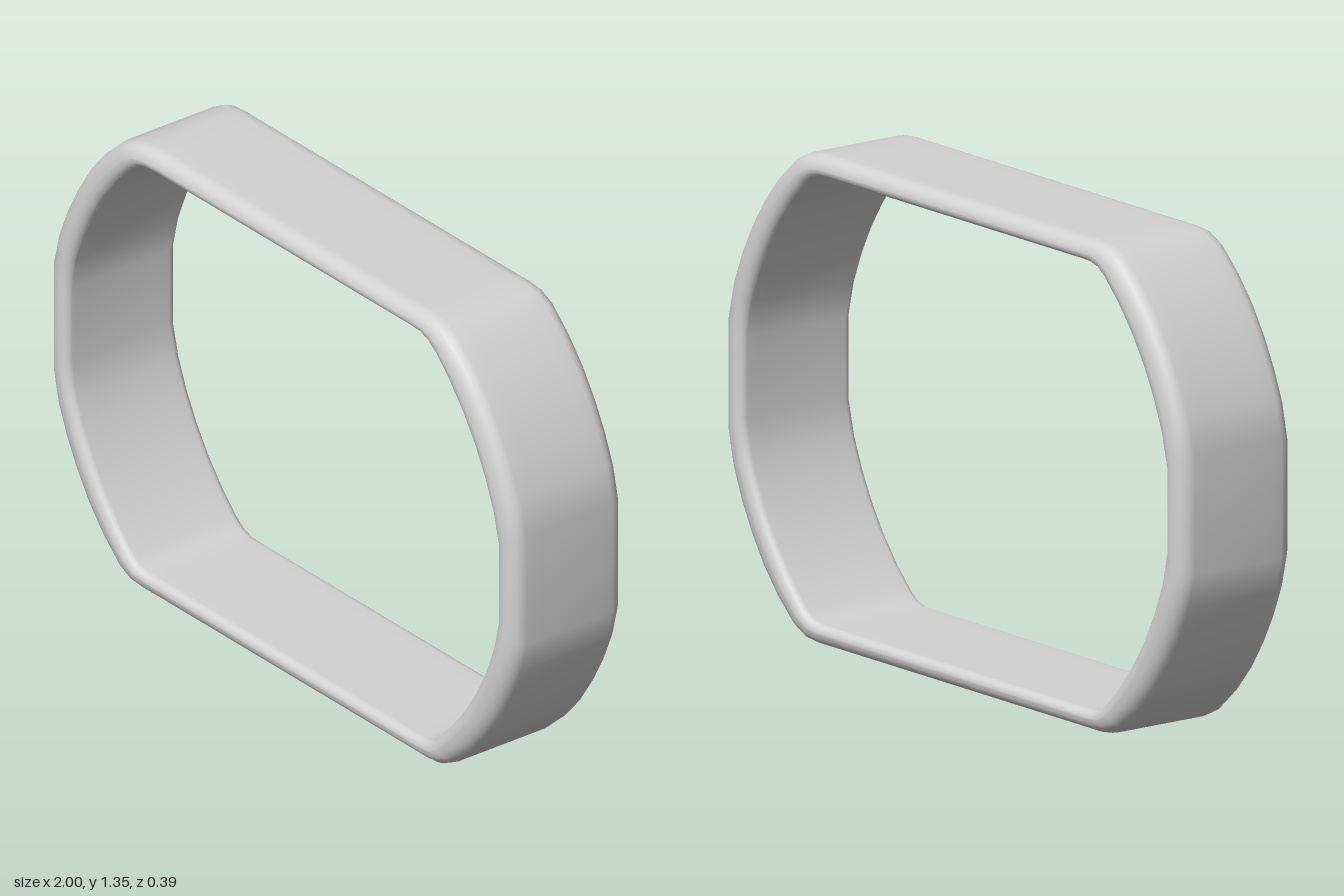
import * as THREE from 'three';

const MID = 0.678; // height of the band's centre

// Upper right quarter, side to top: outer x, y, inner x, y, half depth
const quarter = [
  [1.0, 0.845, 0.92, 0.79, 0.191],
  [0.974, 0.94, 0.9, 0.885, 0.193],
  [0.938, 1.027, 0.866, 0.97, 0.193],
  [0.895, 1.108, 0.823, 1.053, 0.193],
  [0.843, 1.187, 0.773, 1.13, 0.193],
  [0.782, 1.258, 0.713, 1.205, 0.193],
  [0.71, 1.322, 0.652, 1.267, 0.193],
  [0.66, 1.347, 0.62, 1.288, 0.191],
  [0.607, 1.355, 0.585, 1.295, 0.187],
  [0.54, 1.355, 0.54, 1.296, 0.186],
];

// Rounded wall section as [0 inner .. 1 outer, side of z, inset from the edge]
function wallSection() {
  const half = [];
  const corner = (t, sign, rt, rz, from) => {
    for (let k = 0; k <= 5; k++) {
      const a = (from + k / 5) * Math.PI / 2;
      half.push([t + sign * rt * (1 - Math.abs(Math.cos(a))), 1, rz * (1 - Math.abs(Math.sin(a)))]);
    }
  };
  half.push([1, 1, 0.09]);
  corner(1, -1, 0.6, 0.045, 0); // outer edge
  corner(0, 1, 0.35, 0.025, 1); // inner edge
  half.push([0, 1, 0.07]);
  const back = half.map(([t, s, inset]) => [t, -s, inset]).reverse();
  return [...half, ...back];
}

// Mirror the quarter into a closed loop, anticlockwise from the front
function bandLoop() {
  const flip = (p, sx, sy) => [
    sx * p[0], MID + sy * (p[1] - MID), sx * p[2], MID + sy * (p[3] - MID), p[4],
  ];
  const reversed = [...quarter].reverse();
  return [
    ...quarter,
    ...reversed.map((p) => flip(p, -1, 1)),
    ...quarter.map((p) => flip(p, -1, -1)),
    ...reversed.map((p) => flip(p, 1, -1)),
  ];
}

// Sweep the wall section round the loop
function bandGeometry() {
  const loop = bandLoop();
  const section = wallSection();
  const n = loop.length;
  const m = section.length;
  const positions = [];
  const indices = [];
  loop.forEach(([ox, oy, ix, iy, depth], i) => {
    section.forEach(([t, side, inset], j) => {
      positions.push(ix + (ox - ix) * t, iy + (oy - iy) * t, side * (depth - inset));
      const a = i * m + j;
      const b = ((i + 1) % n) * m + j;
      const c = i * m + ((j + 1) % m);
      const d = ((i + 1) % n) * m + ((j + 1) % m);
      indices.push(a, b, c, b, d, c);
    });
  });
  const geometry = new THREE.BufferGeometry();
  geometry.setAttribute('position', new THREE.Float32BufferAttribute(positions, 3));
  geometry.setIndex(indices);
  geometry.computeVertexNormals();
  return geometry;
}

export function createModel() {
  const group = new THREE.Group();
  group.name = 'ringBand';
  const grey = new THREE.MeshStandardMaterial({ color: 0xd2d2d2 });
  grey.name = 'light grey';
  const band = new THREE.Mesh(bandGeometry(), grey);
  band.name = 'band';
  group.add(band);
  return group;
}
